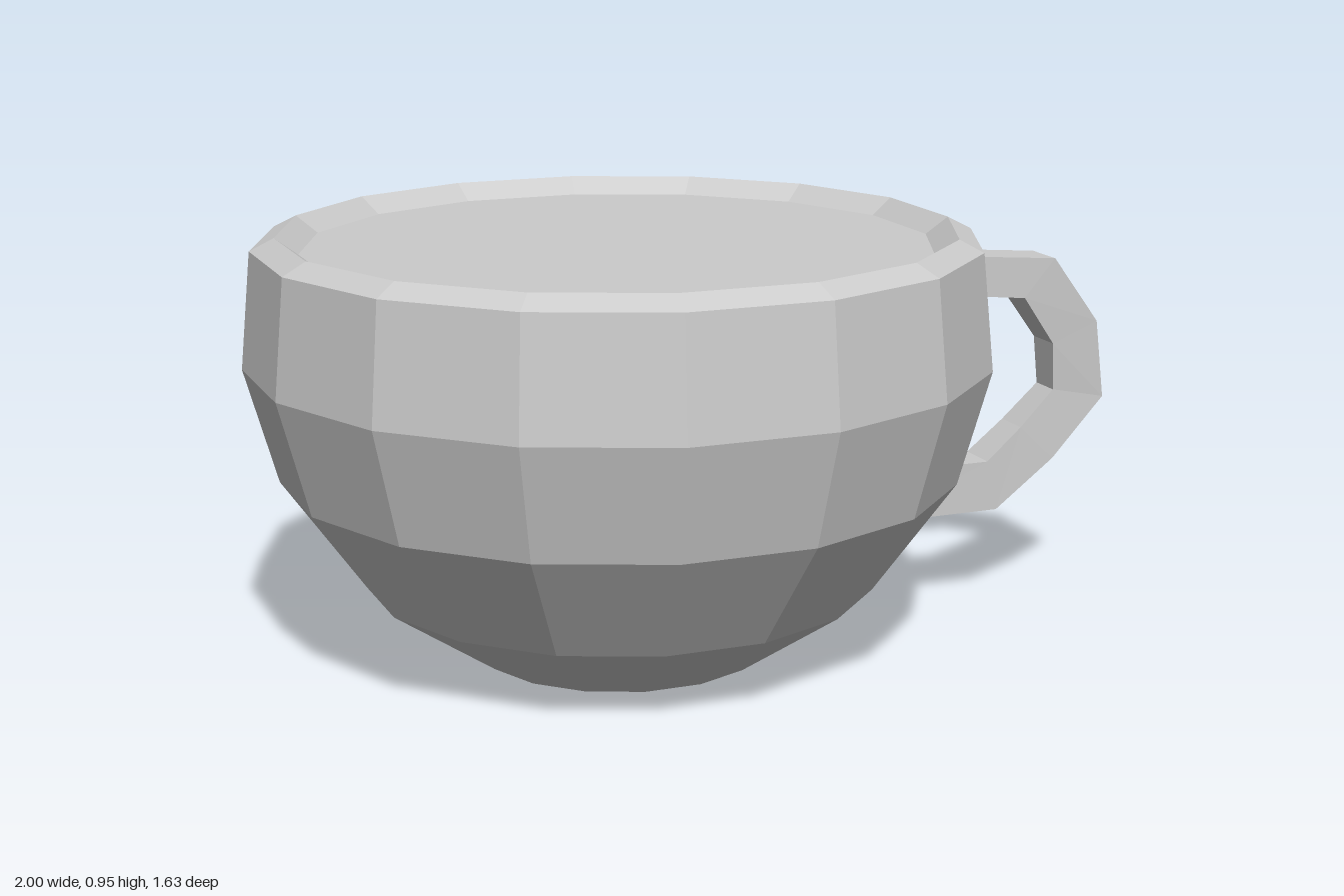
import * as THREE from 'three';

const SIDES = 16;
const material = new THREE.MeshStandardMaterial({ color: 0xcccccc, flatShading: true });

function addMesh(parent, name, geometry) {
  const mesh = new THREE.Mesh(geometry, material);
  mesh.name = name;
  parent.add(mesh);
  return mesh;
}

// Rectangular bar swept through stations: [outer r, outer y, inner r, inner y, width]
function barGeometry(stations) {
  const positions = [];
  const index = [];
  for (const [ro, yo, ri, yi, w] of stations) {
    const h = w / 2;
    positions.push(ro, yo, h, ro, yo, -h, ri, yi, -h, ri, yi, h);
  }
  const quad = (a, b, c, d) => index.push(a, b, c, a, c, d);
  const last = (stations.length - 1) * 4;
  for (let s = 0; s < last; s += 4) {
    for (let k = 0; k < 4; k++) {
      const n = (k + 1) % 4;
      quad(s + k, s + 4 + k, s + 4 + n, s + n);
    }
  }
  // End caps
  quad(0, 1, 2, 3);
  quad(last + 3, last + 2, last + 1, last);
  const geometry = new THREE.BufferGeometry();
  geometry.setAttribute('position', new THREE.Float32BufferAttribute(positions, 3));
  geometry.setIndex(index);
  const flat = geometry.toNonIndexed();
  flat.computeVertexNormals();
  return flat;
}

export function createModel() {
  const cup = new THREE.Group();
  cup.name = 'cup';
  cup.position.x = -0.185;

  // Faceted bowl: base, curved wall, bevelled rim and inner lip
  const profile = [
    [0, 0], [0.325, 0], [0.565, 0.163], [0.745, 0.413], [0.815, 0.665],
    [0.79, 0.92], [0.737, 0.947], [0.687, 0.91],
  ].map(([r, y]) => new THREE.Vector2(r, y));
  addMesh(cup, 'bowl', new THREE.LatheGeometry(profile, SIDES));

  // Flat drink surface just below the rim
  const drink = addMesh(cup, 'drinkSurface', new THREE.CircleGeometry(0.687, SIDES));
  drink.rotation.x = -Math.PI / 2;
  drink.position.y = 0.91;

  // Ear-shaped handle centred on one facet, narrowing towards its tip
  const handle = addMesh(cup, 'handle', barGeometry([
    [0.782, 0.838, 0.782, 0.747, 0.104],
    [1.052, 0.815, 0.976, 0.727, 0.104],
    [1.173, 0.657, 1.058, 0.612, 0.09],
    [1.2, 0.472, 1.066, 0.5, 0.077],
    [1.067, 0.335, 0.98, 0.418, 0.09],
    [0.918, 0.227, 0.892, 0.345, 0.1],
    [0.595, 0.227, 0.672, 0.345, 0.104],
  ]));
  handle.rotation.y = -Math.PI / SIDES;

  const model = new THREE.Group();
  model.name = 'teacup';
  model.add(cup);
  return model;
}
